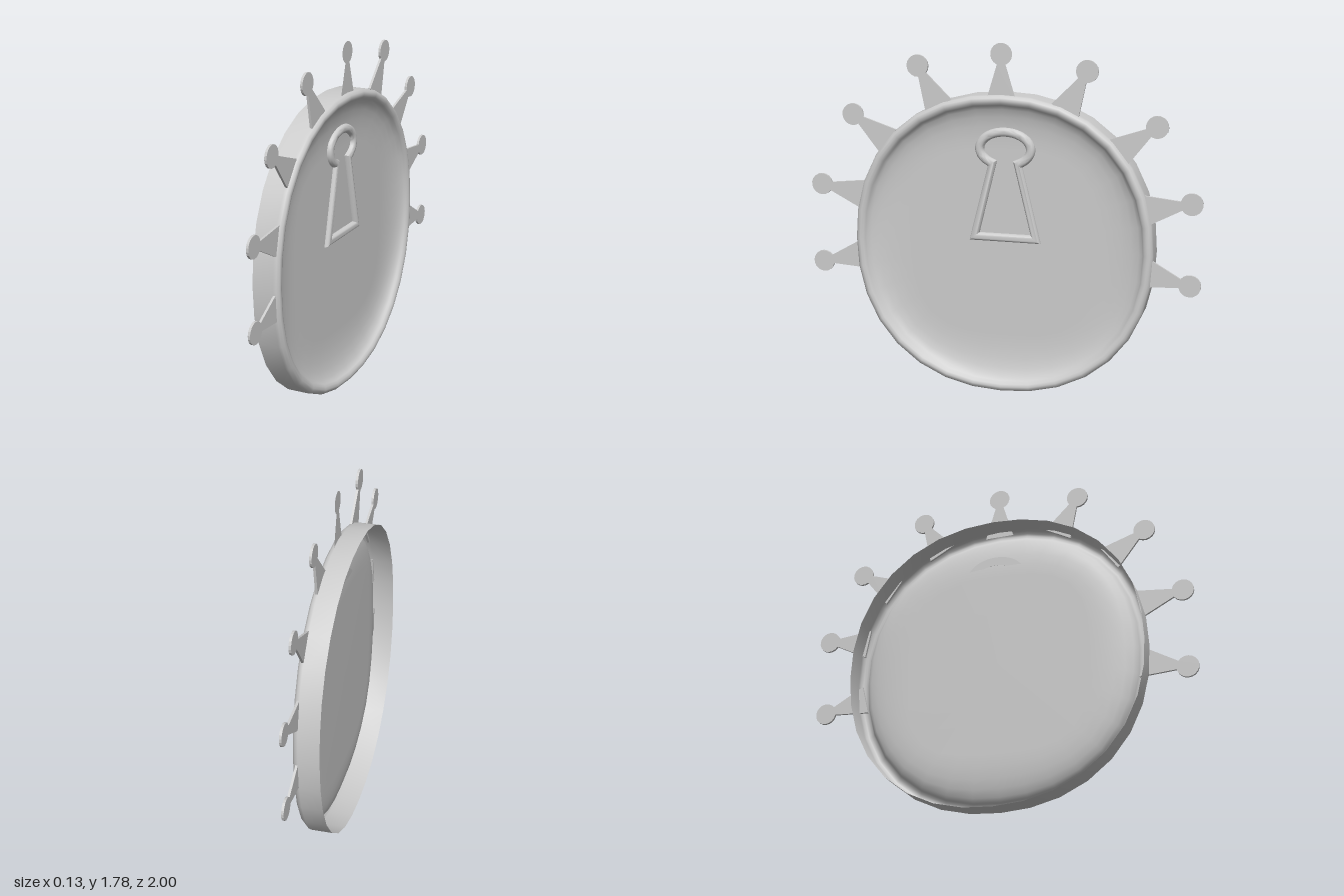
import * as THREE from 'three';
import { mergeVertices, toCreasedNormals } from 'three/addons/utils/BufferGeometryUtils.js';

const metal = new THREE.MeshStandardMaterial({ color: 0xcccccc, side: THREE.DoubleSide });
metal.name = 'light grey metal';

const CENTER_Y = 0.766;

// Rounded rim and recessed dish: a lathe about the x axis, pushed towards a rounded square
function dishGeometry() {
  const profile = [
    [0.765, -0.07], [0.765, 0.035], [0.761, 0.05], [0.75, 0.061], [0.738, 0.064],
    [0.724, 0.06], [0.714, 0.05], [0.71, 0.042], [0.69, 0.028], [0.65, 0.015],
    [0.6, 0.006], [0.54, 0.001], [0.48, 0], [0, 0],
  ].map(([r, x]) => new THREE.Vector2(r, x));
  let geo = new THREE.LatheGeometry(profile, 32);
  geo.rotateZ(-Math.PI / 2);
  const p = geo.attributes.position;
  for (let i = 0; i < p.count; i++) {
    const y = p.getY(i), z = p.getZ(i), r = Math.hypot(y, z);
    if (r < 1e-5) continue;
    const n = 2.18 + 4 * Math.max(0, 0.71 - r);
    const k = Math.pow(Math.pow(Math.abs(y / r), n) + Math.pow(Math.abs(z / r), n), -1 / n);
    p.setXYZ(i, p.getX(i), y * k, z * k);
  }
  geo.deleteAttribute('uv');
  geo.deleteAttribute('normal');
  geo = mergeVertices(geo, 1e-4);
  geo.computeVertexNormals();
  return geo;
}

// Keyhole outline, grown outwards by o
function keyhole(o, Type) {
  const path = new Type();
  path.moveTo(-0.158 - 1.2 * o, 0.803 - o);
  path.lineTo(0.158 + 1.2 * o, 0.803 - o);
  path.absellipse(0, 1.255, 0.13 + o, 0.085 + o, -1.05, Math.PI + 1.05, false);
  path.closePath();
  return path;
}

// Raised half-round border around the keyhole
function keyholeGeometry() {
  const shape = keyhole(0.005, THREE.Shape);
  shape.holes.push(keyhole(-0.005, THREE.Path));
  const geo = new THREE.ExtrudeGeometry(shape, {
    depth: 0.002, bevelThickness: 0.022, bevelSize: 0.018, bevelSegments: 4, curveSegments: 16,
  });
  const p = geo.attributes.position;
  for (let i = 0; i < p.count; i++) p.setZ(i, Math.max(p.getZ(i), 0.001));
  geo.rotateY(Math.PI / 2);
  return toCreasedNormals(geo, 0.7);
}

// Thin spike ending in a round knob, pointing up its local y
function spikeShape() {
  const s = new THREE.Shape();
  s.moveTo(-0.075, -0.02);
  s.lineTo(0.075, -0.02);
  s.lineTo(0.022, 0.155);
  s.absarc(0, 0.205, 0.055, -1.15, Math.PI + 1.15, false);
  s.lineTo(-0.022, 0.155);
  s.closePath();
  return s;
}

export function createModel() {
  const model = new THREE.Group();
  model.name = 'keyholeShield';
  const add = (geo, name) => {
    const mesh = new THREE.Mesh(geo, metal);
    mesh.name = name;
    model.add(mesh);
    return mesh;
  };

  add(dishGeometry(), 'rimAndDish').position.y = CENTER_Y;
  add(keyholeGeometry(), 'keyholeBorder').position.z = -0.01;

  // The top spike is a flat sheet, the others are thin plates
  const sheet = new THREE.ShapeGeometry(spikeShape(), 8).rotateY(Math.PI / 2);
  const plate = new THREE.ExtrudeGeometry(spikeShape(), {
    depth: 0.012, bevelEnabled: false, curveSegments: 8,
  }).rotateY(Math.PI / 2);

  add(sheet, 'topSpike').position.set(0.041, 1.522, 0);

  // Base z, base y, direction z, direction y; mirrored across z
  const spikes = [
    [0.327, 1.478, 0.096, 0.177],
    [0.6, 1.285, 0.16, 0.113],
    [0.742, 0.998, 0.21, 0.04],
    [0.745, 0.676, 0.205, -0.048],
  ];
  for (const side of [1, -1]) {
    for (const [z, y, dz, dy] of spikes) {
      const spike = add(plate, side > 0 ? 'frontSpike' : 'backSpike');
      spike.position.set(0.035, y, z * side);
      spike.rotation.x = Math.atan2(dz * side, dy);
    }
  }
  return model;
}
